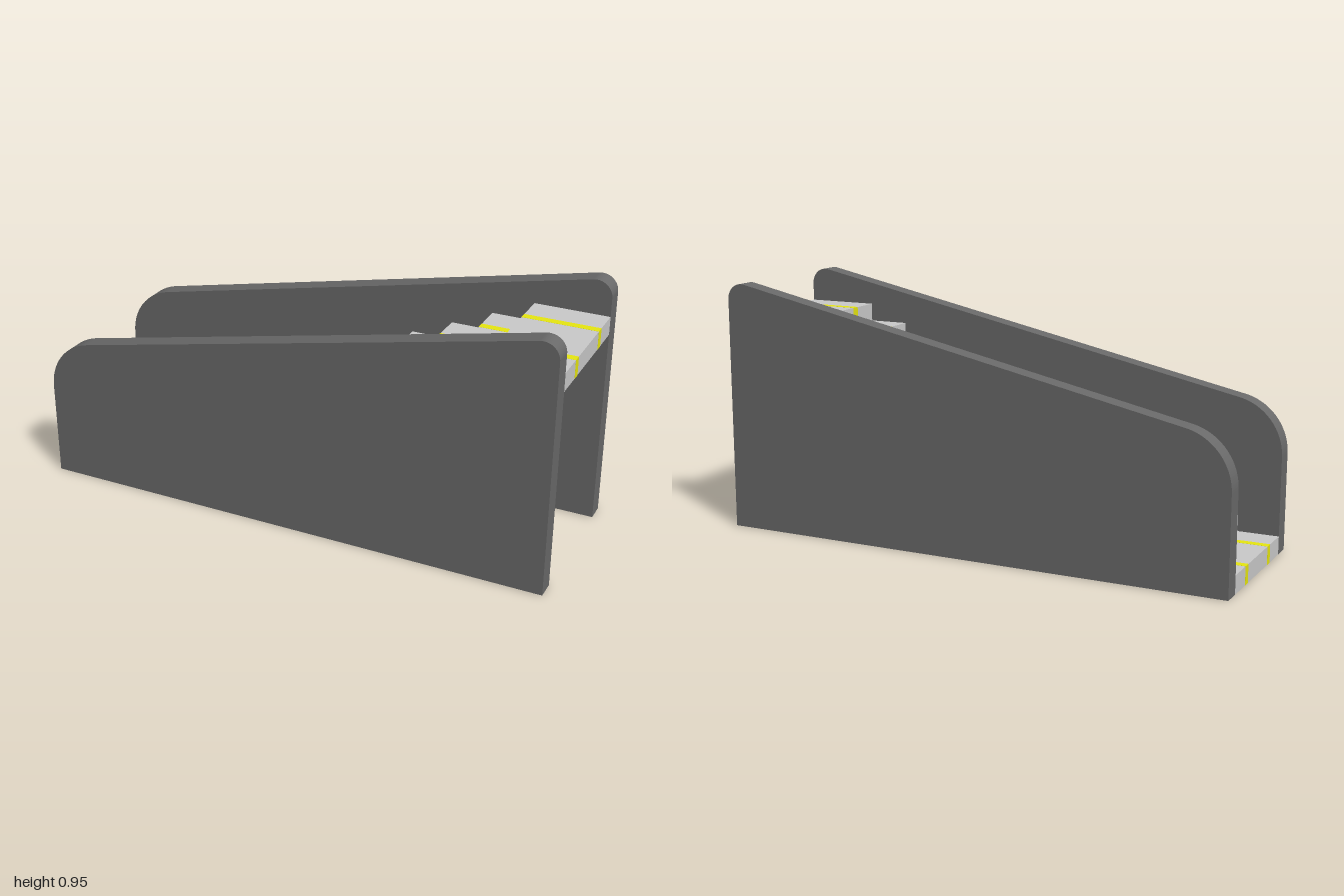
import * as THREE from 'three';

const STEPS = 12, RISE = 0.818 / STEPS, DEPTH = 0.28, RUN = (2 - DEPTH) / (STEPS - 1);
const INNER = 0.2525, OUTER = 0.324;

const wallMat = new THREE.MeshStandardMaterial({ color: 0x6a6a6a });
const stepMat = new THREE.MeshStandardMaterial({ color: 0xcccccc });
const stripeMat = new THREE.MeshStandardMaterial({ color: 0xe8e810 });

// Side panel outline: sloping top edge with a large low corner and a small high corner
function wallShape() {
  const slope = 0.213, tilt = Math.atan(slope);
  const centreY = (x, r) => 0.75 + slope * x - r * Math.hypot(1, slope);
  const rLow = 0.21, rHigh = 0.06;
  const shape = new THREE.Shape();
  shape.moveTo(1, 0);
  shape.lineTo(-1, 0);
  shape.absarc(-1 + rLow, centreY(-1 + rLow, rLow), rLow, Math.PI, Math.PI / 2 + tilt, true);
  shape.absarc(1 - rHigh, centreY(1 - rHigh, rHigh), rHigh, Math.PI / 2 + tilt, 0, true);
  shape.closePath();
  return shape;
}

function addBox(parent, name, material, w, h, d, z) {
  const mesh = new THREE.Mesh(new THREE.BoxGeometry(w, h, d), material);
  mesh.name = name;
  mesh.position.z = z;
  parent.add(mesh);
}

export function createModel() {
  const model = new THREE.Group();
  model.name = 'staircase';

  // Two side panels
  const wallGeo = new THREE.ExtrudeGeometry(wallShape(), {
    depth: OUTER - INNER, bevelEnabled: false, curveSegments: 16,
  });
  for (const [name, z] of [['frontSidePanel', INNER], ['backSidePanel', -OUTER]]) {
    const wall = new THREE.Mesh(wallGeo, wallMat);
    wall.name = name;
    wall.position.z = z;
    model.add(wall);
  }

  // Overlapping step slabs, each wrapped by two thin stripes
  for (let i = 0; i < STEPS; i++) {
    const step = new THREE.Group();
    step.name = `step${i + 1}`;
    step.position.set(-1 + i * RUN + DEPTH / 2, (i + 0.5) * RISE, 0);
    addBox(step, 'tread', stepMat, DEPTH, RISE, INNER * 2, 0);
    for (const side of [-1, 1]) {
      addBox(step, 'stripe', stripeMat, DEPTH + 0.001, RISE + 0.001, 0.031, side * 0.128);
    }
    model.add(step);
  }
  return model;
}
